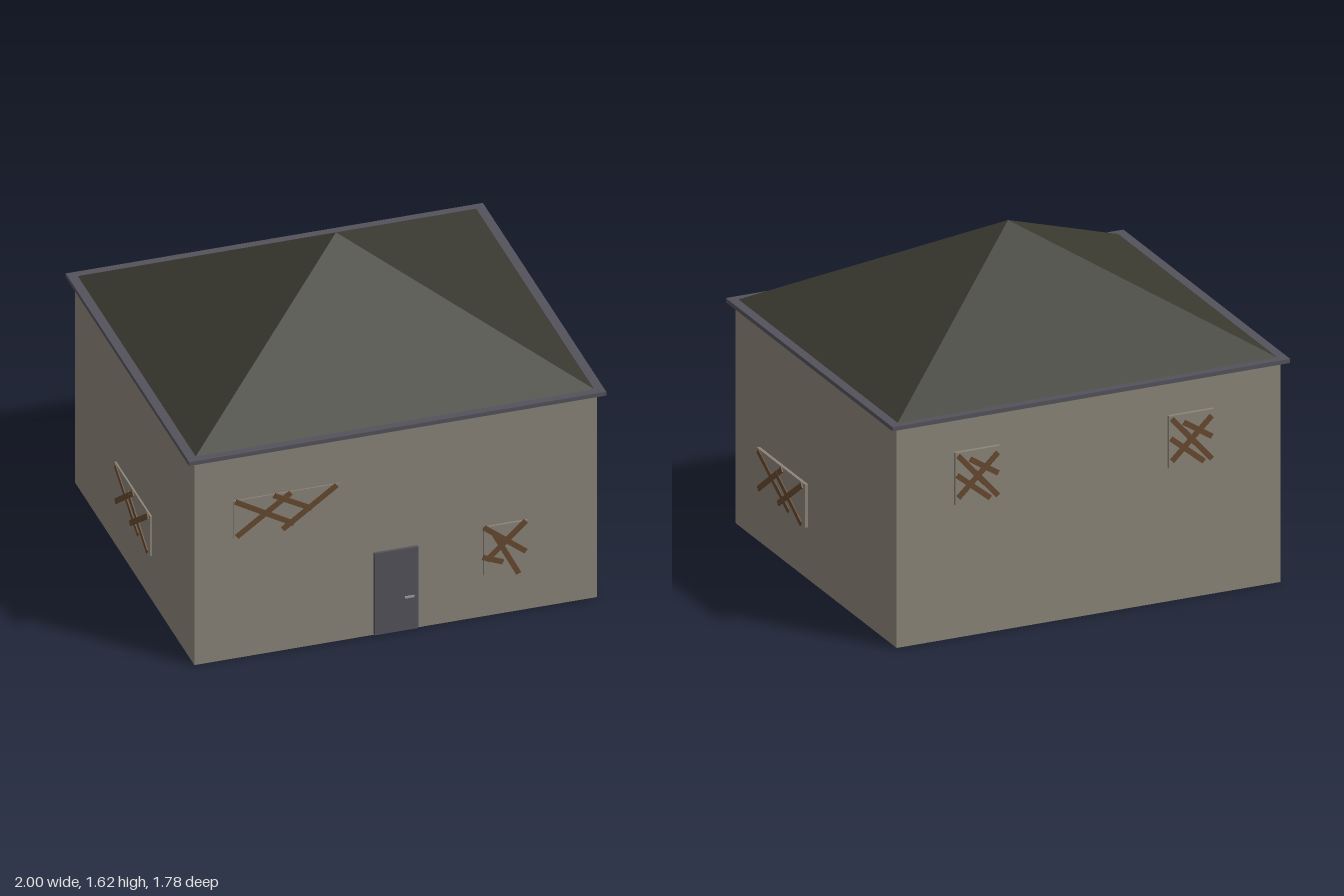
import * as THREE from 'three';

const W = 0.965, D = 0.86, EAVE = 1.075;

function material(name, color) {
  const m = new THREE.MeshStandardMaterial({ color });
  m.name = name;
  return m;
}

export function createModel() {
  const wall = material('plaster', 0x8a8478);
  const roofing = material('roofing', 0x393930);
  const trim = material('slate trim', 0x53525b);
  const wood = material('old wood', 0x66492f);
  const metal = material('handle metal', 0x9a9a96);
  const model = new THREE.Group();
  model.name = 'boardedHouse';

  function box(parent, name, mat, size, pos) {
    const mesh = new THREE.Mesh(new THREE.BoxGeometry(...size), mat);
    mesh.name = name;
    mesh.position.set(...pos);
    parent.add(mesh);
    return mesh;
  }

  // walls, eaves and hipped roof
  box(model, 'walls', wall, [2 * W, EAVE, 2 * D], [0, EAVE / 2, 0]);
  box(model, 'eaves', trim, [2, 0.02, 1.78], [0, EAVE + 0.01, 0]);
  const roofGeo = new THREE.ConeGeometry(Math.SQRT2, 0.53, 4).rotateY(Math.PI / 4).scale(0.955, 1, 0.85).toNonIndexed();
  roofGeo.computeVertexNormals();
  const roof = new THREE.Mesh(roofGeo, roofing);
  roof.name = 'roof';
  roof.position.y = EAVE + 0.02 + 0.265;
  model.add(roof);

  // each side is a group with x to the right, y up and z outward
  function side(name, angle, dist) {
    const g = new THREE.Group();
    g.name = name;
    g.rotation.y = angle;
    g.userData.dist = dist;
    model.add(g);
    return g;
  }

  // raised panel [x0, y0, x1, y1] with boards [x0, y0, x1, y1] nailed over it
  function boardedWindow(parent, name, [x0, y0, x1, y1], depth, boards) {
    const g = new THREE.Group();
    g.name = name;
    parent.add(g);
    const d = parent.userData.dist;
    box(g, 'windowPanel', wall, [x1 - x0, y1 - y0, depth], [(x0 + x1) / 2, (y0 + y1) / 2, d + depth / 2]);
    boards.forEach(([ax, ay, bx, by], i) => {
      const len = Math.hypot(bx - ax, by - ay);
      const z = d + depth + 0.002 + i * 0.0006;
      const b = box(g, 'board', wood, [len, 0.026, 0.006], [(ax + bx) / 2, (ay + by) / 2, z]);
      b.rotation.z = Math.atan2(by - ay, bx - ax);
    });
  }

  // front: door and two windows
  const front = side('frontSide', 0, D);
  box(front, 'door', trim, [0.21, 0.43, 0.015], [0, 0.22, D + 0.0075]);
  box(front, 'doorHandle', metal, [0.045, 0.01, 0.006], [0.062, 0.18, D + 0.017]);
  boardedWindow(front, 'upperWindow', [-0.78, 0.635, -0.27, 0.835], 0.006, [
    [-0.77, 0.83, -0.49, 0.665], [-0.765, 0.645, -0.505, 0.83],
    [-0.585, 0.83, -0.405, 0.73], [-0.545, 0.645, -0.285, 0.83]]);
  boardedWindow(front, 'lowerWindow', [0.42, 0.22, 0.63, 0.475], 0.011, [
    [0.42, 0.475, 0.62, 0.315], [0.43, 0.3, 0.62, 0.475],
    [0.47, 0.43, 0.585, 0.205], [0.415, 0.32, 0.51, 0.28]]);

  // long low windows on both ends
  const longBoards = (x, y) => [
    [-0.24, 0.2, 0.09, 0.02], [-0.235, 0.015, 0.02, 0.2],
    [-0.05, 0.165, 0.225, 0.005], [-0.02, 0.02, 0.235, 0.2],
  ].map(([a, b, c, d]) => [x + a, y + b, x + c, y + d]);
  const left = side('leftSide', Math.PI / 2, W);
  boardedWindow(left, 'leftWindow', [-0.6, 0.255, -0.085, 0.465], 0.016, longBoards(-0.345, 0.255));
  const right = side('rightSide', -Math.PI / 2, W);
  boardedWindow(right, 'rightWindow', [-0.265, 0.235, 0.25, 0.445], 0.009, longBoards(-0.008, 0.235));

  // two matching windows at the back
  const back = side('backSide', Math.PI, D);
  for (const x of [-0.565, 0.51]) {
    boardedWindow(back, 'backWindow', [x - 0.113, 0.655, x + 0.113, 0.91], 0.018, [
      [-0.1, 0.895, 0.1, 0.67], [-0.1, 0.69, 0.1, 0.88],
      [-0.105, 0.8, 0.06, 0.665], [-0.04, 0.87, 0.1, 0.78],
    ].map(([a, b, c, d]) => [x + a, b, x + c, d]));
  }
  return model;
}
